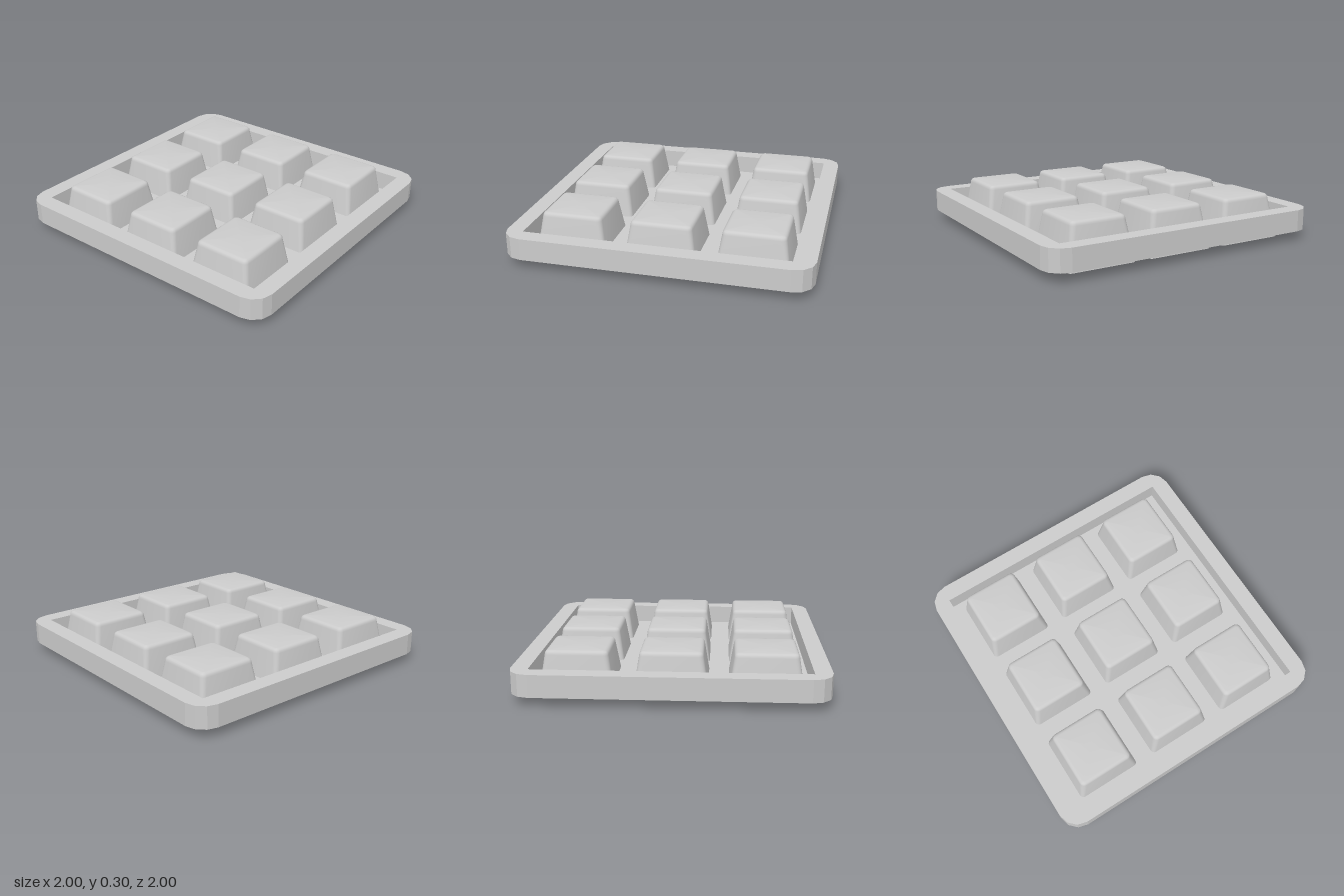
import * as THREE from 'three';
import { toCreasedNormals } from 'three/addons/utils/BufferGeometryUtils.js';

// Outline of a rounded rectangle, counter-clockwise, as Vector2 points
function roundedRect(halfX, halfY, radius, steps) {
  const points = [];
  for (let corner = 0; corner < 4; corner++) {
    const sx = corner === 0 || corner === 3 ? 1 : -1;
    const sy = corner < 2 ? 1 : -1;
    for (let i = 0; i <= steps; i++) {
      const a = (corner + i / steps) * Math.PI / 2;
      points.push(new THREE.Vector2(
        sx * (halfX - radius) + radius * Math.cos(a),
        sy * (halfY - radius) + radius * Math.sin(a)));
    }
  }
  return points;
}

// Flat slab lying between two heights
function slab(shape, bottom, top) {
  const geometry = new THREE.ExtrudeGeometry(shape, { depth: top - bottom, bevelEnabled: false });
  geometry.rotateX(-Math.PI / 2);
  geometry.translate(0, bottom, 0);
  return geometry;
}

// Tapered block with rounded corners and a soft top edge, skinned over sections
function blockGeometry() {
  const bottomX = 0.237, bottomZ = 0.246, top = 0.3, fillet = 0.028;
  const sections = [[0, 0, 0.025]]; // height, inset, corner radius
  for (let i = 0; i <= 4; i++) {
    const a = i / 4 * Math.PI / 2;
    sections.push([
      top - fillet * (1 - Math.sin(a)),
      0.042 + fillet * (1 - Math.cos(a)),
      0.034 - 0.02 * (1 - Math.cos(a))]);
  }
  const positions = [], index = [];
  const rings = sections.map(([y, inset, r]) => roundedRect(bottomX - inset, bottomZ - inset, r, 4)
    .map(p => [p.x, y, -p.y]));
  const n = rings[0].length;
  rings.forEach(ring => ring.forEach(p => positions.push(...p)));
  for (let s = 0; s < rings.length - 1; s++) {
    for (let i = 0; i < n; i++) {
      const a = s * n + i, b = s * n + (i + 1) % n;
      index.push(a, b, b + n, a, b + n, a + n);
    }
  }
  // Top and bottom caps
  const last = (rings.length - 1) * n, centre = rings.length * n;
  positions.push(0, top, 0, 0, 0, 0);
  for (let i = 0; i < n; i++) {
    const j = (i + 1) % n;
    index.push(last + i, last + j, centre, j, i, centre + 1);
  }
  const geometry = new THREE.BufferGeometry();
  geometry.setAttribute('position', new THREE.Float32BufferAttribute(positions, 3));
  geometry.setIndex(index);
  return toCreasedNormals(geometry, 0.6);
}

export function createModel() {
  const group = new THREE.Group();
  const material = new THREE.MeshStandardMaterial({ color: 0xcccccc });
  const add = (name, geometry) => {
    const mesh = new THREE.Mesh(geometry, material);
    mesh.name = name;
    group.add(mesh);
    return mesh;
  };

  // Tray: thin floor and a raised rim with faceted corners
  const outline = roundedRect(1, 1, 0.135, 3);
  add('trayFloor', slab(new THREE.Shape(outline), 0.063, 0.08));
  const rim = new THREE.Shape(outline);
  rim.holes.push(new THREE.Path([[-0.885, -0.885], [-0.885, 0.885], [0.885, 0.885], [0.885, -0.885]]
    .map(([x, y]) => new THREE.Vector2(x, y))));
  add('trayRim', slab(rim, 0.08, 0.21));

  // Three by three grid of blocks passing through the floor
  const geometry = blockGeometry();
  for (let row = -1; row <= 1; row++) {
    for (let column = -1; column <= 1; column++) {
      add('block', geometry).position.set(column * 0.577 - 0.01, 0, row * 0.6);
    }
  }
  return group;
}
